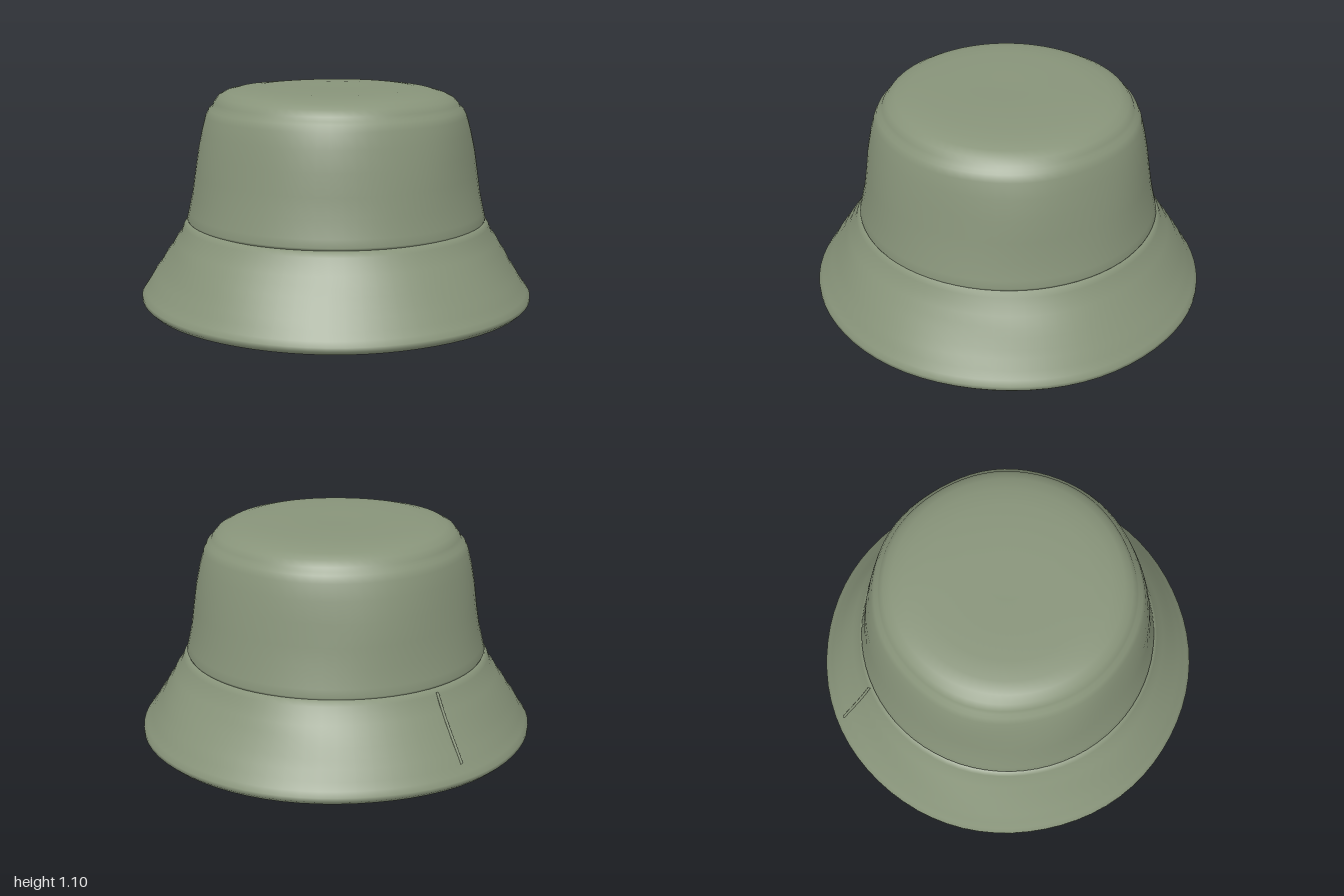
import * as THREE from 'three';
import { mergeVertices } from 'three/addons/utils/BufferGeometryUtils.js';

const fabric = new THREE.MeshStandardMaterial({ color: 0x88947a });
fabric.name = 'sage fabric';

// Brim outline (radius, height): flat underside, rolled rim, flared slope
const brimProfile = [
  [0, 0.02], [0.5, 0.018], [0.85, 0.014], [0.93, 0.016], [0.972, 0.026], [0.992, 0.045],
  [0.992, 0.064], [0.975, 0.088], [0.95, 0.125], [0.924, 0.17], [0.895, 0.21], [0.868, 0.26],
  [0.842, 0.295], [0.818, 0.34], [0.79, 0.375], [0.775, 0.415], [0.757, 0.44], [0.72, 0.447],
];
// Crown outline: hem lip, tapering wall, stitched shoulder, slightly domed top
const crownProfile = [
  [0.735, 0.438], [0.752, 0.44], [0.757, 0.452], [0.748, 0.49], [0.728, 0.58], [0.712, 0.68],
  [0.695, 0.79], [0.674, 0.89], [0.654, 0.965], [0.638, 0.998], [0.62, 1.01], [0.612, 1.03],
  [0.59, 1.058], [0.55, 1.079], [0.49, 1.094], [0.4, 1.103], [0.25, 1.106], [0.1, 1.104], [0, 1.103],
];

// Spin an outline, soften it with a rule for each vertex, then weld for smooth normals
function spin(profile, bend) {
  const geo = new THREE.LatheGeometry(profile.map(([r, y]) => new THREE.Vector2(r, y)), 72);
  const p = geo.attributes.position;
  for (let i = 0; i < p.count; i++) {
    const x = p.getX(i), y = p.getY(i), z = p.getZ(i);
    const [k, dy] = bend(x, y, z, Math.atan2(x, z));
    p.setXYZ(i, x * k, y + dy, z * k);
  }
  geo.deleteAttribute('uv');
  geo.deleteAttribute('normal');
  const welded = mergeVertices(geo, 1e-4);
  welded.computeVertexNormals();
  return welded;
}

// Soft waviness of the cloth brim, fading out at the rim
function brimBend(x, y, z, a) {
  const fade = Math.sin(Math.PI * THREE.MathUtils.clamp((y - 0.05) / 0.4, 0, 1));
  return [1 + fade * 0.006 * Math.sin(5 * a + 9 * y) + 0.002 * Math.sin(7 * a), 0.003 * Math.sin(3 * a + 1)];
}

// Gentle dents in the wall and a slight slump of the top
function crownBend(x, y, z, a) {
  const fade = THREE.MathUtils.smoothstep(y, 0.45, 0.75);
  const top = THREE.MathUtils.smoothstep(y, 1.0, 1.09);
  const dent = 0.005 * Math.sin(4 * a + 5 * y) + 0.004 * Math.sin(7 * a - 6 * y);
  return [1 + fade * dent * (1 - top), top * (-0.016 * x - 0.008 * z + 0.004 * Math.sin(4 * x + 3 * z))];
}

export function createModel() {
  const hat = new THREE.Group();
  hat.name = 'bucketHat';
  const add = (name, geo) => {
    const mesh = new THREE.Mesh(geo, fabric);
    mesh.name = name;
    hat.add(mesh);
  };

  add('brim', spin(brimProfile, brimBend));
  add('crown', spin(crownProfile, crownBend));

  // Raised join running down the back of the brim
  const seam = [[0.77, 0.425], [0.818, 0.34], [0.868, 0.26], [0.924, 0.17], [0.95, 0.125]].map(([r, y]) => {
    const x = r * Math.sin(2.92), z = r * Math.cos(2.92);
    const [k, dy] = brimBend(x, y, z, 2.92);
    return new THREE.Vector3(x * k, y + dy, z * k);
  });
  add('brimSeam', new THREE.TubeGeometry(new THREE.CatmullRomCurve3(seam), 16, 0.007, 6));
  return hat;
}
